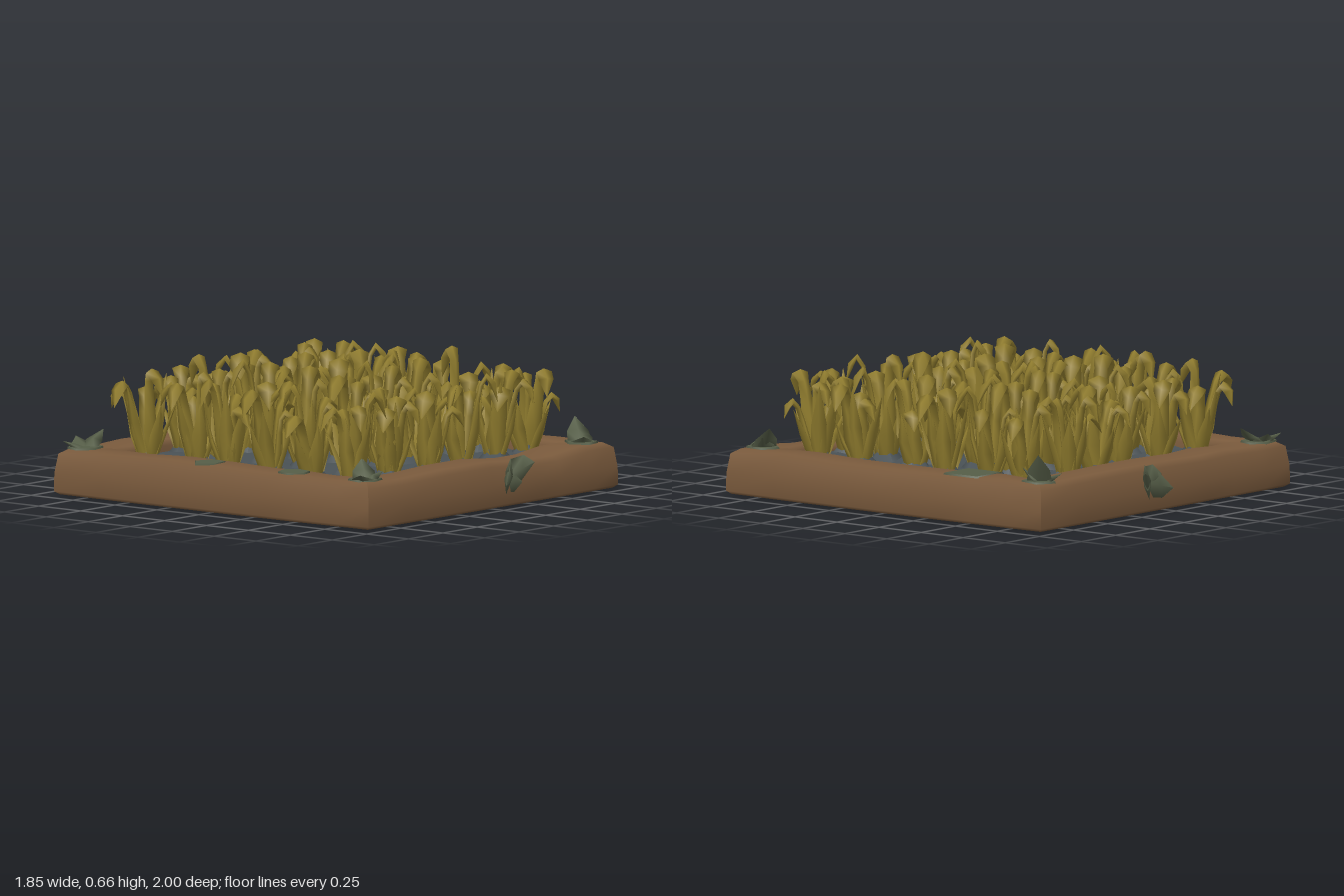
import * as THREE from 'three';
import { mergeGeometries } from 'three/addons/utils/BufferGeometryUtils.js';

const V = (x, y, z) => new THREE.Vector3(x, y, z);

function seeded(seed) {
  return () => {
    seed = (seed * 16807) % 2147483647;
    return seed / 2147483647;
  };
}

// Skin a list of closed rings, each counterclockwise about the path direction.
function loft(rings) {
  const n = rings[0].length;
  const index = [];
  for (let i = 0; i < rings.length - 1; i++) {
    for (let j = 0; j < n; j++) {
      const a = i * n + j, b = i * n + ((j + 1) % n);
      index.push(a, b, a + n, b, b + n, a + n);
    }
  }
  const g = new THREE.BufferGeometry().setFromPoints(rings.flat());
  g.setIndex(index);
  g.computeVertexNormals();
  return g;
}

// Leaf with a flat diamond section following a path.
function leaf(points, halfWidths, side, thickness) {
  return loft(points.map((p, i) => {
    const dir = points[Math.min(i + 1, points.length - 1)].clone()
      .sub(points[Math.max(i - 1, 0)]).normalize();
    const s = side.clone().multiplyScalar(halfWidths[i]);
    const t = dir.cross(side).normalize().multiplyScalar(halfWidths[i] * thickness);
    return [p.clone().add(s), p.clone().add(t), p.clone().sub(s), p.clone().sub(t)];
  }));
}

export function createModel() {
  const model = new THREE.Group();
  model.name = 'cropPlanter';
  const rand = seeded(4711);
  const vary = (a) => (rand() - 0.5) * 2 * a;
  const make = (name, color) => {
    const m = new THREE.MeshStandardMaterial({ color });
    m.name = name;
    return m;
  };
  const wood = make('brown wood', 0x7b5b3d);
  const soil = make('slate soil', 0x4a5256);
  const straw = make('ripe straw', 0x948030);
  const moss = make('grey green moss', 0x565e48);
  moss.side = THREE.DoubleSide;
  const add = (name, geometry, material, parent = model) => {
    const mesh = new THREE.Mesh(geometry, material);
    mesh.name = name;
    parent.add(mesh);
    return mesh;
  };

  // Four mitred rails with a worn pillow section; the tray is a little deeper than wide
  const profile = [[0.71, 0.185], [0.735, 0.212], [0.86, 0.212], [0.895, 0.19],
    [0.908, 0.1], [0.91, 0.015], [0.89, 0], [0.74, 0], [0.71, 0.03]];
  const stations = [-1, -0.7, -0.35, 0, 0.35, 0.55, 0.8, 1];
  ['frontRail', 'leftRail', 'backRail', 'rightRail'].forEach((name, k) => {
    const alongX = k % 2 === 0;
    const rings = stations.map((s) => {
      let lift = Math.abs(s) < 1 ? vary(0.008) : 0;
      if (k === 0 && s > 0.3 && s < 0.7) lift = -0.02;
      const bow = (alongX ? 0.004 : 0.016) * (1 - s * s);
      return profile.map(([d, y]) => {
        const outer = d > 0.8;
        const deep = outer ? 0.028 : 0;
        return V((alongX ? d : d + deep) * s, y > 0.15 ? y + lift : y,
          d + (alongX ? deep : 0) + (outer ? bow : 0));
      });
    });
    add(name, loft(rings), wood).rotation.y = k * Math.PI / 2;
  });

  // Soil slab with an uneven top
  const bed = new THREE.BoxGeometry(1.46, 0.12, 1.46, 12, 1, 12);
  const bp = bed.attributes.position;
  for (let i = 0; i < bp.count; i++) {
    if (bp.getY(i) > 0) {
      const x = bp.getX(i), z = bp.getZ(i);
      bp.setY(i, 0.06 + 0.018 * Math.sin(x * 13 + 1) * Math.cos(z * 11));
    }
  }
  bed.computeVertexNormals();
  add('soilBed', bed, soil).position.y = 0.1;

  // Six by six clumps of arching stalks
  const mounds = [];
  const rows = [-0.61, -0.37, -0.12, 0.12, 0.37, 0.61];
  rows.forEach((z0, r) => rows.forEach((x0, c) => {
    const cx = THREE.MathUtils.clamp(x0 + vary(0.06), -0.62, 0.62), cz = z0 + vary(0.025);
    const edge = Math.max(Math.abs(x0), Math.abs(z0)) > 0.5 ? 1 : 0;
    const blades = [];
    const turn = rand() * Math.PI * 2;

    // Tall stalks with broad hooked heads, at differing heights
    for (let k = 0; k < 4; k++) {
      const a = turn + k * Math.PI / 2 + vary(0.4);
      const out = V(Math.cos(a), 0, Math.sin(a));
      const side = V(-out.z, 0, out.x);
      const h = 0.47 - 0.06 * edge + vary(0.03) - k * 0.035;
      const reach = 0.15 + vary(0.03);
      const w = 0.038 + vary(0.006);
      const path = [[0.12, 0], [0.3, 0.35], [0.38, 0.7], [0.46, 0.9], [0.64, 1.0],
        [0.85, 0.92], [1.05, 0.72]];
      const points = path.map(([p, y]) => out.clone().multiplyScalar(p * reach)
        .add(V(cx + x0 * 0.05 * y, 0.15 + y * h, cz + z0 * 0.05 * y)));
      blades.push(leaf(points, [w * 0.9, w * 1.15, w * 0.85, w * 0.75, w * 1.1, w * 1.05, 0.001],
        side, 0.4));
    }
    // Pointed lower leaves fanning into the gaps
    for (let k = 0; k < 6; k++) {
      const a = turn + 0.6 + k * Math.PI / 3 + vary(0.3);
      const out = V(Math.cos(a), 0, Math.sin(a));
      const h = 0.31 + vary(0.09);
      const tip = 0.12 + vary(0.025);
      const points = [[0.03, 0], [0.08, 0.5], [tip, 1]].map(([p, y]) =>
        out.clone().multiplyScalar(p).add(V(cx, 0.15 + y * h, cz)));
      blades.push(leaf(points, [0.034, 0.036, 0.001], V(-out.z, 0, out.x), 0.3));
    }
    add(`cropClump${r + 1}x${c + 1}`, mergeGeometries(blades), straw);

    // Earth heaped around the stems
    const mound = new THREE.ConeGeometry(0.095, 0.11, 5, 1, true);
    mound.rotateY(turn).translate(cx, 0.2, cz);
    mounds.push(mound);
  }));
  add('soilMounds', mergeGeometries(mounds), soil);

  // Mossy tufts: broad pointed leaves spreading from a root
  const tuft = (name, root, tips, width, sideOf) => {
    const leaves = tips.map(([x, y, z]) => {
      const tip = V(x, y, z);
      const mid = root.clone().lerp(tip, 0.5);
      return leaf([root, mid, tip], [width, width * 0.85, 0.001], sideOf(tip), 0.25);
    });
    add(name, mergeGeometries(leaves), moss);
  };
  const across = (root) => (tip) => V(root.z - tip.z, 0, tip.x - root.x).normalize();
  const corners = [
    ['frontRightTuft', V(-0.79, 0.2, 0.82), [[-0.9, 0.25, 0.88], [-0.73, 0.3, 0.75], [-0.71, 0.25, 0.86]]],
    ['frontLeftTuft', V(0.78, 0.2, 0.82), [[0.86, 0.32, 0.72], [0.73, 0.25, 0.88], [0.85, 0.27, 0.77]]],
    ['backRightTuft', V(-0.8, 0.2, -0.84), [[-0.68, 0.29, -0.83], [-0.89, 0.25, -0.9], [-0.77, 0.26, -0.92]]],
    ['backLeftTuft', V(0.79, 0.2, -0.83), [[0.86, 0.35, -0.88], [0.71, 0.25, -0.9], [0.84, 0.28, -0.77]]],
  ];
  corners.forEach(([name, root, tips]) => tuft(name, root, tips, 0.06, across(root)));

  // Tufts growing from the front and back faces
  for (const s of [1, -1]) {
    tuft(s > 0 ? 'frontFaceTuft' : 'backFaceTuft', V(0.125, 0.145, s * 0.93),
      [[0.02, 0.11, s], [0.225, 0.2, s], [0.17, 0.11, s * 0.97], [0.07, 0.18, s * 0.97]],
      0.075, () => V(0.2, 1, 0).normalize());
  }

  // Flat moss patches on the rails
  const patch = (x, z, w, d, sides) => {
    const g = new THREE.CylinderGeometry(0.5, 0.52, 0.009, sides);
    g.rotateY(Math.PI / 4).scale(w, 1, d);
    add('mossPatch', g, moss).position.set(x, 0.217, z);
  };
  patch(-0.83, -0.08, 0.17, 0.14, 5);
  patch(-0.82, 0.42, 0.14, 0.15, 6);
  patch(0.8, -0.44, 0.25, 0.27, 4);
  patch(-0.79, 0.82, 0.16, 0.15, 6);
  patch(0.78, 0.82, 0.14, 0.17, 5);
  patch(-0.8, -0.84, 0.18, 0.15, 6);
  patch(0.79, -0.83, 0.16, 0.17, 5);

  return model;
}
